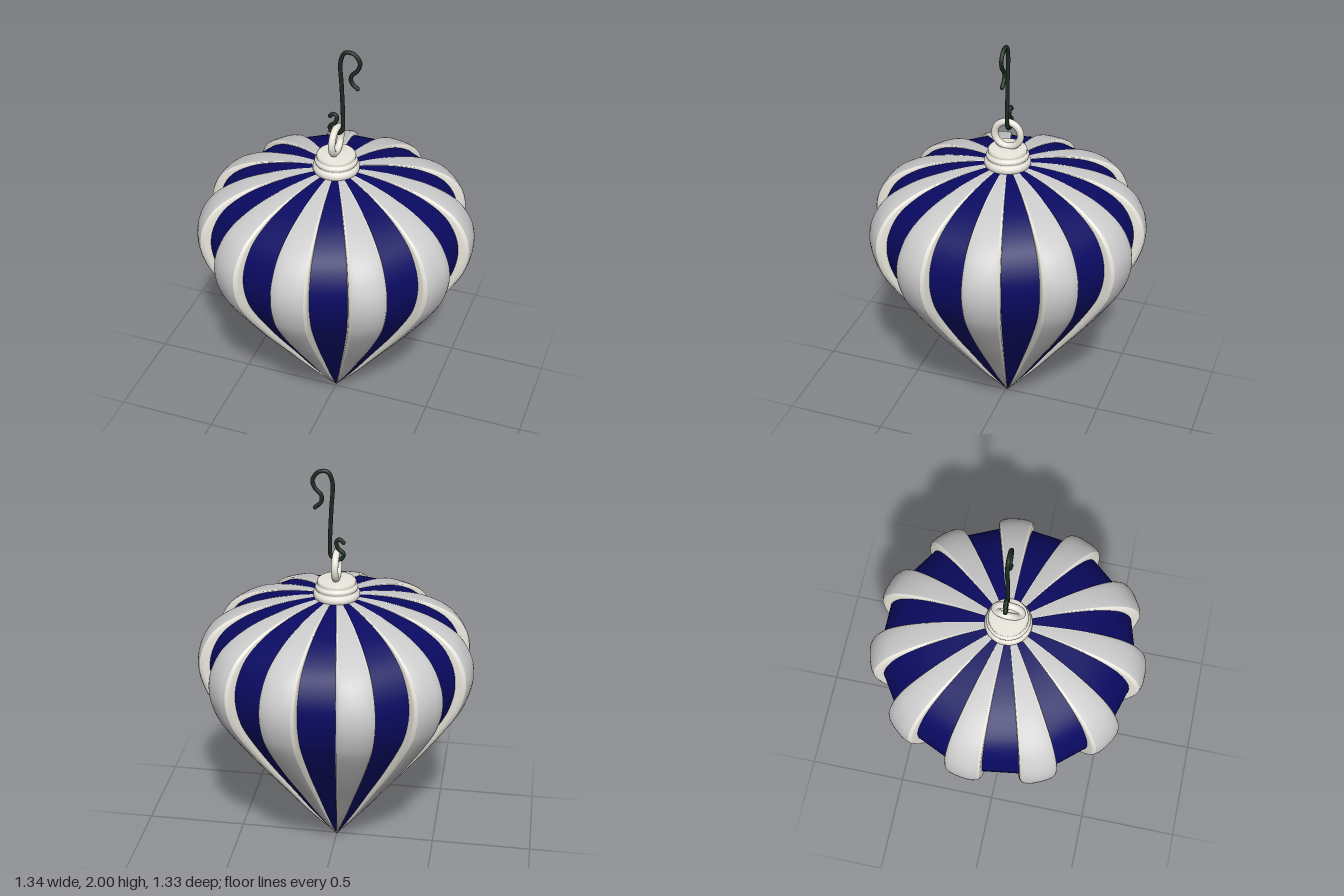
import * as THREE from 'three';

const RIBS = 11;
const STEPS = 56;
const V2 = (x, y) => new THREE.Vector2(x, y);
const paint = (color, side = THREE.FrontSide) => new THREE.MeshStandardMaterial({ color, side });

// Outer silhouette of a rib, from the bottom tip to under the cap
const outline = new THREE.SplineCurve([
  [0, 0], [0.164, 0.2], [0.315, 0.4], [0.466, 0.6], [0.602, 0.8], [0.655, 0.91], [0.675, 1.02],
  [0.655, 1.12], [0.59, 1.215], [0.47, 1.288], [0.33, 1.332], [0.2, 1.356], [0.07, 1.37],
].map(([x, y]) => V2(x, y))).getPoints(STEPS);

// Surface strip running pole to pole; section = [angle in degrees, radius factor] pairs
function strip(section) {
  const pos = [], index = [], w = section.length;
  outline.forEach((p, i) => {
    section.forEach(([deg, factor], j) => {
      const a = THREE.MathUtils.degToRad(deg), r = p.x * factor;
      pos.push(r * Math.sin(a), p.y, r * Math.cos(a));
      if (i < STEPS && j < w - 1) {
        const k = i * w + j;
        index.push(k, k + 1, k + w + 1, k, k + w + 1, k + w);
      }
    });
  });
  const g = new THREE.BufferGeometry();
  g.setAttribute('position', new THREE.Float32BufferAttribute(pos, 3));
  g.setIndex(index);
  g.computeVertexNormals();
  return g;
}

export function createModel() {
  const model = new THREE.Group();
  model.name = 'hangingOrnament';
  const add = (parent, name, geometry, material) => {
    const m = new THREE.Mesh(geometry, material);
    m.name = name;
    parent.add(m);
    return m;
  };
  const blue = paint(0x0a0a62), grey = paint(0xcccccc);
  const cream = paint(0xe9e6dc), creamThin = paint(0xe9e6dc, THREE.DoubleSide);
  const green = paint(0x1c2b22);

  const bauble = new THREE.Group();
  bauble.name = 'bauble';
  bauble.position.z = -0.01;
  model.add(bauble);

  // Grey ribs with cream bevelled walls, and a flat blue panel after each
  const half = 8.2, pitch = 360 / RIBS;
  const face = strip([[-6.8, 0.985], [-5, 0.996], [-2.5, 1], [0, 1], [2.5, 1], [5, 0.996], [6.8, 0.985]]);
  const edge = [[6.8, 0.985], [7.7, 0.967], [8, 0.955], [half, 0.913]];
  const leftWall = strip(edge);
  const rightWall = strip(edge.map(([deg, f]) => [-deg, f]).reverse());
  const panel = strip([[half, 0.913], [pitch / 2, 0.913 * Math.cos(THREE.MathUtils.degToRad(pitch / 2 - half))],
    [pitch - half, 0.913]]);
  for (let i = 0; i < RIBS; i++) {
    const segment = new THREE.Group();
    segment.name = 'segment' + (i + 1);
    segment.rotation.y = (i / RIBS) * Math.PI * 2;
    add(segment, 'ribFace', face, grey);
    add(segment, 'ribLeftWall', leftWall, creamThin);
    add(segment, 'ribRightWall', rightWall, creamThin);
    add(segment, 'bluePanel', panel, blue);
    bauble.add(segment);
  }

  // Stepped cap with rounded rims
  const cap = [[0.09, 1.352], [0.106, 1.36], [0.112, 1.374], [0.111, 1.388], [0.103, 1.398],
    [0.096, 1.402], [0.101, 1.408], [0.103, 1.416], [0.1, 1.424], [0.091, 1.429],
    [0.093, 1.436], [0.093, 1.446], [0.086, 1.453], [0, 1.456]];
  add(bauble, 'cap', new THREE.LatheGeometry(cap.map(([x, y]) => V2(x, y)), 40), cream);

  // Hanging ring, standing in the front-to-back plane
  const ring = add(bauble, 'ring', new THREE.TorusGeometry(0.064, 0.017, 14, 40), cream);
  ring.rotation.y = Math.PI / 2;
  ring.position.y = 1.522;

  // Wire hook
  const wire = new THREE.CatmullRomCurve3([
    [-0.034, 1.642], [-0.016, 1.657], [0, 1.645], [-0.008, 1.612], [-0.034, 1.588],
    [-0.028, 1.564], [0, 1.556], [0.026, 1.575], [0.03, 1.64], [0.024, 1.8], [0.019, 1.94],
    [0.04, 1.984], [0.08, 1.984], [0.11, 1.945], [0.1, 1.905], [0.071, 1.873],
    [0.07, 1.84], [0.1, 1.81],
  ].map(([x, y]) => new THREE.Vector3(x, y, -0.018)));
  add(model, 'hook', new THREE.TubeGeometry(wire, 120, 0.01, 10), green);
  [0, 1].forEach((t) => {
    add(model, 'hookEnd', new THREE.SphereGeometry(0.01, 10, 8), green).position.copy(wire.getPoint(t));
  });

  return model;
}
